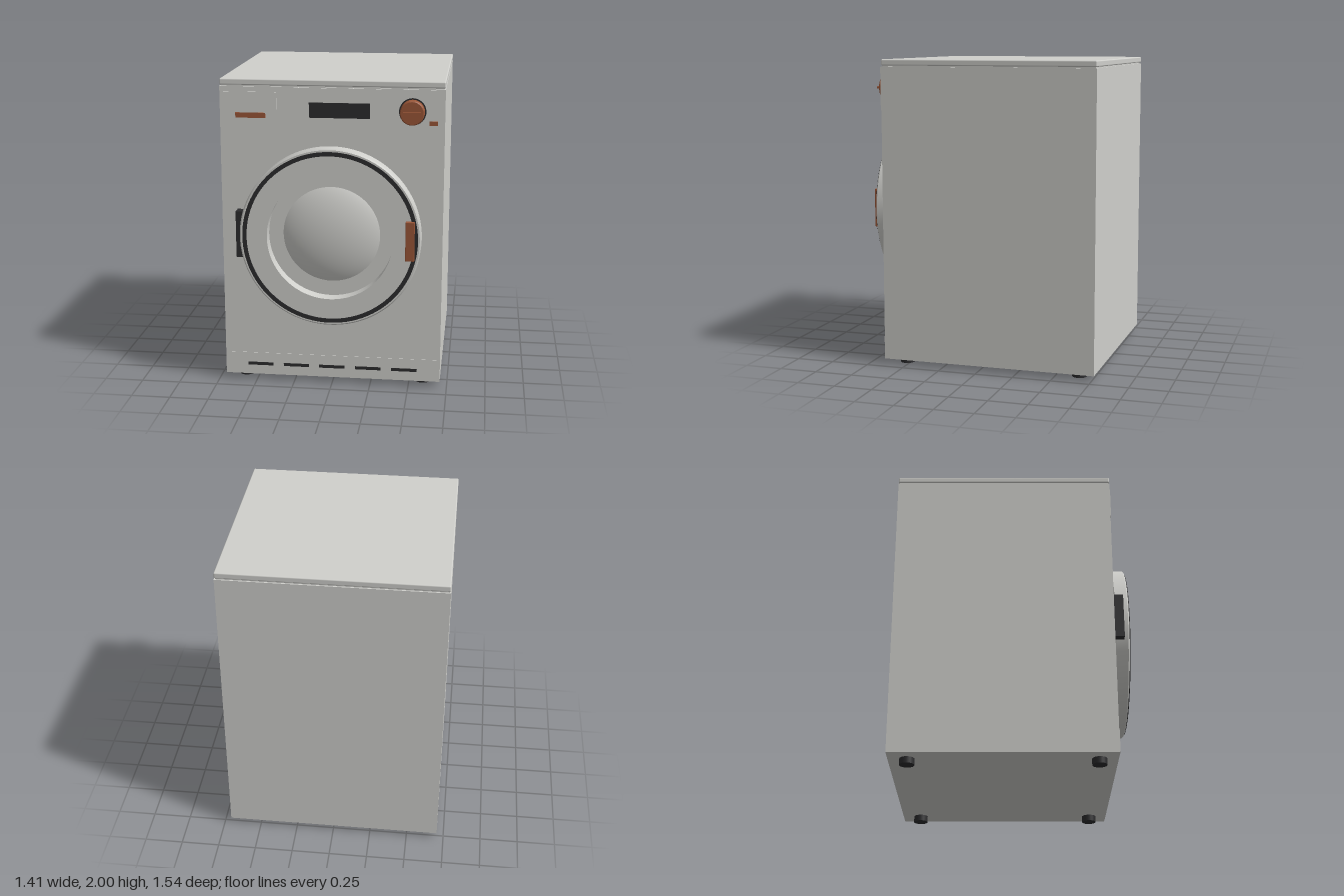
import * as THREE from 'three';
import { toCreasedNormals } from 'three/addons/utils/BufferGeometryUtils.js';
import { RoundedBoxGeometry } from 'three/addons/geometries/RoundedBoxGeometry.js';

export function createModel() {
  const model = new THREE.Group();
  const mat = (name, color) => new THREE.MeshStandardMaterial({ name, color });
  const enamel = mat('light grey enamel', 0xd0d0cc);
  const dark = mat('charcoal', 0x2c2c2e);
  const copper = mat('copper', 0x9c5738);

  const add = (name, geometry, material, x = 0, y = 0, z = 0, parent = model) => {
    const mesh = new THREE.Mesh(geometry, material);
    mesh.name = name;
    mesh.position.set(x, y, z);
    parent.add(mesh);
    return mesh;
  };
  // Box given by its limits on each axis
  const box = (name, material, x0, x1, y0, y1, z0, z1, radius = 0) => {
    const s = [x1 - x0, y1 - y0, z1 - z0];
    const g = radius ? new RoundedBoxGeometry(...s, 2, radius) : new THREE.BoxGeometry(...s);
    return add(name, g, material, (x0 + x1) / 2, (y0 + y1) / 2, (z0 + z1) / 2);
  };
  // Turned part with its axis facing forward; points are [radius, z]
  const turned = (points, segments = 72) => {
    const g = new THREE.LatheGeometry(points.map(p => new THREE.Vector2(...p)), segments);
    return toCreasedNormals(g.rotateX(Math.PI / 2), 0.6);
  };

  // Cabinet, seam and worktop
  const back = -0.77, front = 0.64, side = 0.705;
  box('cabinet', enamel, -side, side, 0.04, 1.953, back, front);
  box('worktopSeam', enamel, -side + 0.008, side - 0.008, 1.95, 1.965, back + 0.008, front - 0.008);
  box('worktop', enamel, -side, side, 1.961, 2, back, front, 0.008);

  // Feet
  for (const x of [-0.59, 0.59]) for (const z of [-0.65, 0.525]) {
    add('foot', new THREE.CylinderGeometry(0.047, 0.047, 0.04, 24), dark, x, 0.02, z);
  }

  // Control panel with display and button
  box('controlPanel', enamel, -0.33, side, 1.675, 1.95, front - 0.01, front + 0.004);
  box('display', dark, -0.14, 0.24, 1.765, 1.86, front, front + 0.008);
  box('button', copper, 0.61, 0.66, 1.73, 1.757, front, front + 0.012);

  // Detergent drawer and its grip
  box('detergentDrawer', enamel, -0.68, -0.345, 1.715, 1.92, front - 0.01, front + 0.006);
  box('drawerGrip', copper, -0.605, -0.415, 1.757, 1.79, front, front + 0.01);

  // Program dial
  const dial = new THREE.Group();
  dial.name = 'programDial';
  dial.position.set(0.505, 1.815, front);
  model.add(dial);
  add('dialBase', turned([[0.084, 0], [0.084, 0.012], [0, 0.012]], 48), dark, 0, 0, 0, dial);
  add('dialKnob', turned([[0.076, 0.01], [0.076, 0.064], [0.07, 0.07], [0, 0.07]], 48), copper, 0, 0, 0, dial);
  add('dialPointer', new THREE.BoxGeometry(0.11, 0.014, 0.03), copper, 0, 0, 0.075, dial);

  // Round door: frame, trim ring and domed glass
  const door = new THREE.Group();
  door.name = 'door';
  door.position.set(0, 1.015, 0);
  model.add(door);
  add('doorFrame', turned([[0.4, 0.66], [0.575, 0.66], [0.575, 0.738], [0.567, 0.746],
    [0.4, 0.746], [0.4, 0.66]], 96), enamel, 0, 0, 0, door);
  add('doorTrim', turned([[0.53, 0.74], [0.556, 0.74], [0.556, 0.752], [0.53, 0.752],
    [0.53, 0.74]], 96), dark, 0, 0, 0, door);
  const dome = new THREE.SphereGeometry(0.4, 64, 24, 0, Math.PI * 2, 0, Math.PI / 2);
  dome.rotateX(Math.PI / 2).scale(1, 1, 0.4);
  add('doorGlass', dome, enamel, 0, 0, 0.539, door);
  box('doorHandle', copper, 0.478, 0.535, 0.89, 1.143, 0.735, 0.77, 0.004);
  box('doorHinge', dark, -0.605, -0.55, 0.865, 1.165, front, 0.71);

  // Kick plate with vent slots
  box('kickPlate', enamel, -side + 0.003, side - 0.003, 0.045, 0.19, front - 0.01, front + 0.003);
  for (let i = -2; i <= 2; i++) {
    const x = i * 0.236;
    box('ventSlot', dark, x - 0.084, x + 0.084, 0.104, 0.124, front, front + 0.006);
  }
  return model;
}
